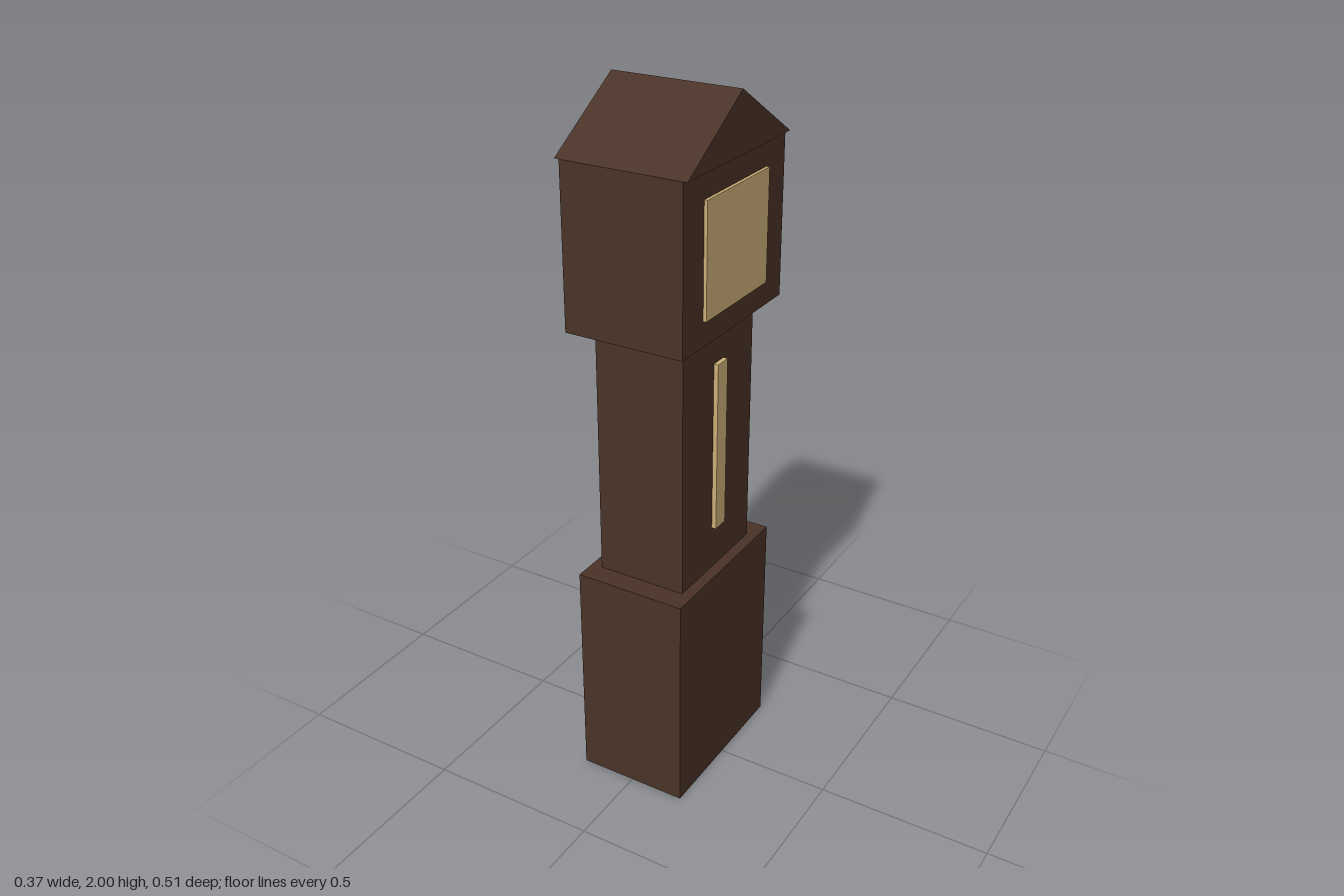
import * as THREE from 'three';

export function createModel() {
  const wood = new THREE.MeshStandardMaterial({ name: 'dark wood', color: 0x4a3328 });
  const brass = new THREE.MeshStandardMaterial({ name: 'pale brass', color: 0xcdb079 });
  const clock = new THREE.Group();
  clock.name = 'longcaseClock';

  const add = (name, geometry, material) => {
    const mesh = new THREE.Mesh(geometry, material);
    mesh.name = name;
    clock.add(mesh);
    return mesh;
  };

  // Box between two heights, centred on z, from x0 to x1
  const block = (name, x0, x1, y0, y1, depth, material) =>
    add(name, new THREE.BoxGeometry(x1 - x0, y1 - y0, depth), material)
      .position.set((x0 + x1) / 2, (y0 + y1) / 2, 0);

  // Case: plinth, narrow trunk and hood
  block('plinth', -0.163, 0.163, 0, 0.66, 0.494, wood);
  block('trunk', -0.131, 0.131, 0.66, 1.39, 0.366, wood);
  block('hood', -0.173, 0.173, 1.39, 1.84, 0.51, wood);

  // Gabled roof with its ridge along x
  const gable = new THREE.Shape([
    new THREE.Vector2(-0.256, 1.84),
    new THREE.Vector2(0.256, 1.84),
    new THREE.Vector2(0, 2),
  ]);
  const roof = new THREE.ExtrudeGeometry(gable, { depth: 0.372, bevelEnabled: false });
  roof.translate(0, 0, -0.186).rotateY(Math.PI / 2);
  add('roof', roof, wood);

  // Dial and pendulum window on the +x face
  block('dial', 0.173, 0.182, 1.46, 1.77, 0.314, brass);
  block('pendulumWindow', 0.131, 0.144, 0.788, 1.284, 0.05, brass);

  return clock;
}
